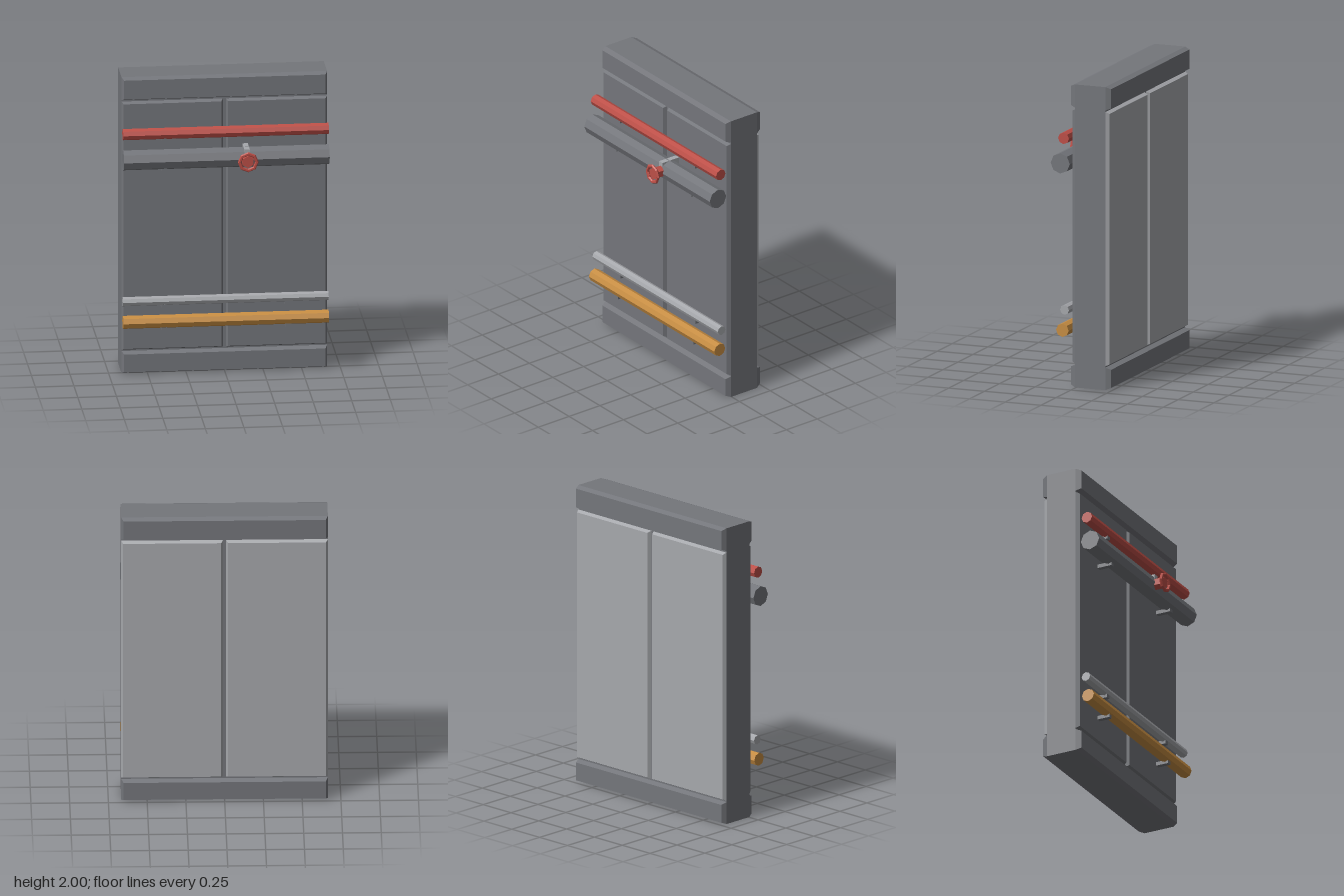
import * as THREE from 'three';

const mat = (name, color) => {
  const m = new THREE.MeshStandardMaterial({ color, flatShading: true });
  m.name = name;
  return m;
};

export function createModel() {
  const grey = mat('wall grey', 0x74767b);
  const silver = mat('light grey', 0xa6a8ac);
  const red = mat('red', 0xbd4f47);
  const orange = mat('orange', 0xc78d42);

  const root = new THREE.Group();
  root.name = 'wallPanelWithPipes';
  const add = (name, geo, material, x, y, z) => {
    const m = new THREE.Mesh(geo, material);
    m.name = name;
    m.position.set(x, y, z);
    root.add(m);
    return m;
  };

  // Box whose front face is inset, giving a chamfered plate
  const plateGeometry = (w, h, d, inset) => {
    const g = new THREE.BoxGeometry(w, h, d);
    const p = g.attributes.position;
    for (let i = 0; i < p.count; i++) {
      if (p.getZ(i) > 0) {
        p.setX(i, p.getX(i) - Math.sign(p.getX(i)) * inset);
        p.setY(i, p.getY(i) - Math.sign(p.getY(i)) * inset);
      }
    }
    g.computeVertexNormals();
    return g;
  };

  // Core slab
  const W = 1.333, zFront = 0.005, zBack = -0.205;
  add('core', new THREE.BoxGeometry(W, 2, zFront - zBack), grey, 0, 1, (zFront + zBack) / 2);

  // Raised bands and panels on both faces
  for (const side of [1, -1]) {
    const face = side > 0 ? 'front' : 'back';
    const raise = (name, material, x0, x1, y0, y1, d, inset) => {
      const z = side > 0 ? zFront + d / 2 : zBack - d / 2;
      const m = add(face + name, plateGeometry(x1 - x0, y1 - y0, d, inset), material,
        (x0 + x1) / 2, (y0 + y1) / 2, z);
      if (side < 0) m.rotation.y = Math.PI;
    };
    raise('BottomBand', grey, -W / 2, W / 2, 0, 0.148, 0.035, 0.014);
    raise('TopBand', grey, -W / 2, W / 2, 1.845, 2, 0.035, 0.014);
    const panelMat = side > 0 ? grey : silver;
    raise('RightPanel', panelMat, -W / 2, -0.01, 0.157, 1.835, 0.025, 0.012);
    raise('LeftPanel', panelMat, 0.01, W / 2, 0.157, 1.835, 0.025, 0.012);
  }

  // Horizontal pipes, each resting on two brackets
  const pipes = [
    ['redPipe', red, 1.637, 0.087, 0.038, 1.585, 0.104],
    ['largePipe', grey, 1.47, 0.11, 0.067, 1.39, 0.132],
    ['thinPipe', silver, 0.505, 0.08, 0.031, 0.457, 0.1],
    ['orangePipe', orange, 0.37, 0.095, 0.044, 0.313, 0.117],
  ];
  for (const [name, material, y, z, r, bracketY, bracketZ] of pipes) {
    const pipe = add(name, new THREE.CylinderGeometry(r, r, W, 8), material, 0, y, z);
    pipe.rotation.z = Math.PI / 2;
    const depth = bracketZ - 0.028;
    for (const x of [-0.4, 0.4]) {
      add(name + 'Bracket', new THREE.BoxGeometry(0.032, 0.025, depth), grey,
        x, bracketY + 0.0125, 0.028 + depth / 2);
    }
  }

  // Valve: stem, six-sided hub and hand wheel
  const vx = 0.132, vy = 1.47;
  add('valveStem', new THREE.BoxGeometry(0.036, 0.065, 0.137), silver, vx, 1.503, 0.0965);
  const hub = add('valveHub', new THREE.CylinderGeometry(0.04, 0.04, 0.068, 6), red, vx, vy, 0.196);
  hub.rotation.x = Math.PI / 2;
  const wheel = add('valveWheel', new THREE.TorusGeometry(0.056, 0.012, 6, 8), red, vx, vy, 0.231);
  wheel.scale.z = 0.9;

  return root;
}
